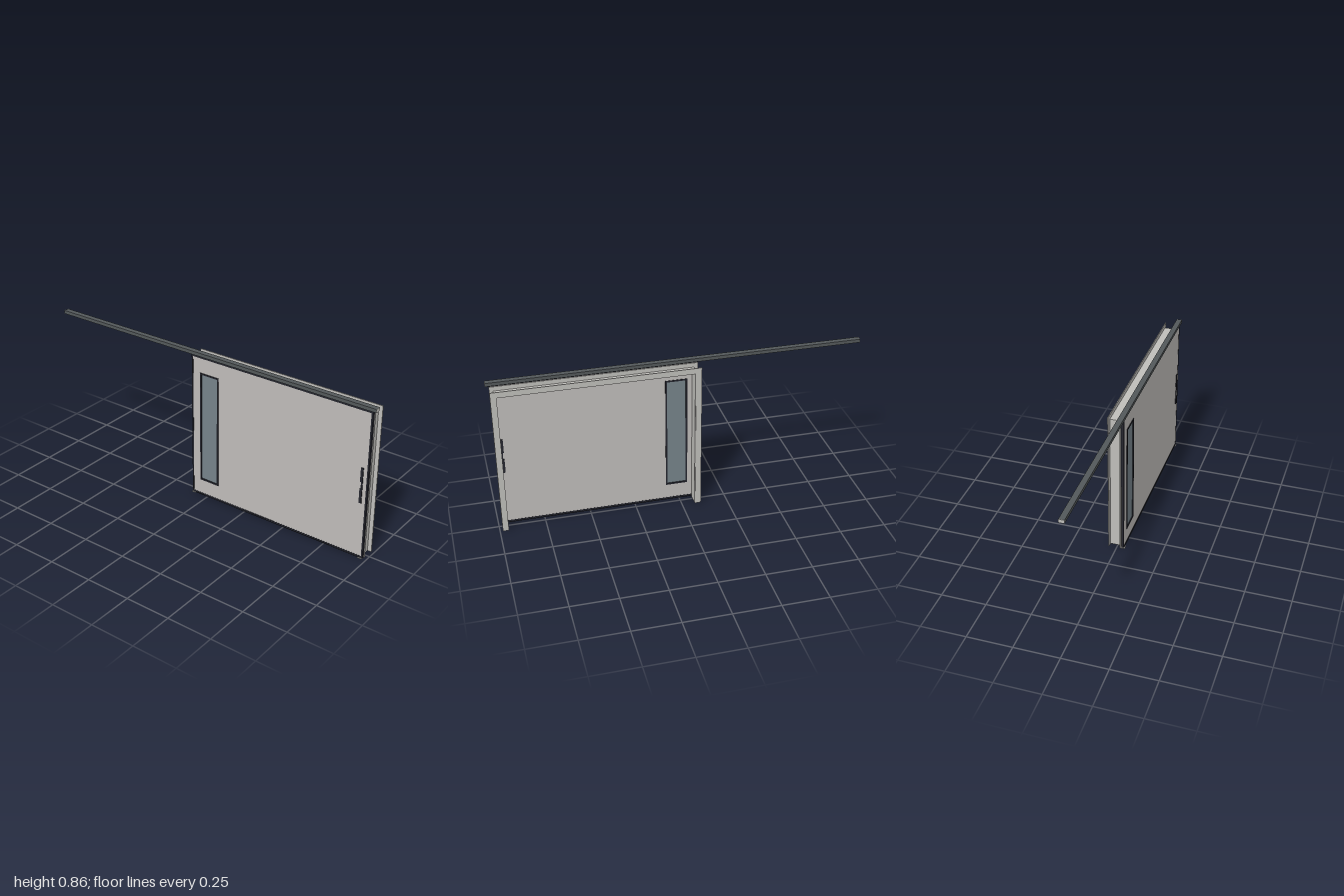
import * as THREE from 'three';

const mat = (name, color, side = THREE.FrontSide) => {
  const m = new THREE.MeshStandardMaterial({ color, side });
  m.name = name;
  return m;
};

export function createModel() {
  const root = new THREE.Group();
  root.name = 'slidingDoor';
  const panelGrey = mat('panelGrey', 0xbfbcb9);
  const frameGrey = mat('frameGrey', 0xbfbeba);
  const railGrey = mat('railGrey', 0x53585a);
  const darkTrim = mat('darkTrim', 0x25262e);
  const glassGrey = mat('glassGrey', 0x76838a);

  const add = (name, geometry, material, parent = root) => {
    const mesh = new THREE.Mesh(geometry, material);
    mesh.name = name;
    parent.add(mesh);
    return mesh;
  };
  // Box given by its minimum and maximum on each axis
  const box = (name, material, [x0, x1], [y0, y1], [z0, z1], parent) => {
    const g = new THREE.BoxGeometry(x1 - x0, y1 - y0, z1 - z0);
    g.translate((x0 + x1) / 2, (y0 + y1) / 2, (z0 + z1) / 2);
    return add(name, g, material, parent);
  };
  const rect = (x0, x1, y0, y1) => [[x0, y0], [x1, y0], [x1, y1], [x0, y1]]
    .map(([x, y]) => new THREE.Vector2(x, y));
  const extrude = (shape, z0, z1) =>
    new THREE.ExtrudeGeometry(shape, { depth: z1 - z0, bevelEnabled: false }).translate(0, 0, z0);
  // Rectangular ring
  const ring = (outer, inner, z0, z1) => {
    const s = new THREE.Shape(rect(...outer));
    s.holes.push(new THREE.Path(rect(...inner)));
    return extrude(s, z0, z1);
  };
  // Doorway outline: two posts and a head, open at the floor
  const arch = ([x0, x1, top], t, z0, z1) => extrude(new THREE.Shape([
    [x0, 0], [x0 + t, 0], [x0 + t, top - t], [x1 - t, top - t],
    [x1 - t, 0], [x1, 0], [x1, top], [x0, top],
  ].map(([x, y]) => new THREE.Vector2(x, y))), z0, z1);

  // Overhead track with end caps
  const track = new THREE.Group();
  track.name = 'track';
  root.add(track);
  box('rail', railGrey, [-0.998, 0.998], [0.839, 0.858], [0.018, 0.048], track);
  box('railEndLeft', frameGrey, [0.998, 1], [0.839, 0.858], [0.018, 0.048], track);
  box('railEndRight', frameGrey, [-1, -0.998], [0.839, 0.858], [0.018, 0.048], track);

  // Door leaf: panel, dark edging, window
  const door = new THREE.Group();
  door.name = 'doorLeaf';
  root.add(door);
  const leaf = [-0.1, 0.98, 0.005, 0.835];
  const pane = [-0.046, 0.074, 0.097, 0.743];
  const inset = ([a, b, c, d], t) => [a + t, b - t, c + t, d - t];
  add('panel', ring(inset(leaf, 0.009), inset(pane, 0.004), 0.027, 0.039), panelGrey, door);
  add('edgeTrim', ring(leaf, inset(leaf, 0.009), 0.026, 0.04), darkTrim, door);
  add('windowFrame', ring(pane, inset(pane, 0.009), 0.025, 0.042), darkTrim, door);
  const g = inset(pane, 0.009);
  box('windowGlass', glassGrey, [g[0], g[1]], [g[2], g[3]], [0.03, 0.037], door);

  // Pull handles on both faces
  for (const [side, z] of [['front', [0.039, 0.043]], ['back', [0.021, 0.027]]]) {
    const handle = new THREE.Group();
    handle.name = side + 'Handle';
    door.add(handle);
    box('gripUpper', darkTrim, [0.937, 0.951], [0.44, 0.52], z, handle);
    box('gripLower', darkTrim, [0.937, 0.951], [0.32, 0.4], z, handle);
    box('gripBar', darkTrim, [0.943, 0.951], [0.4, 0.44], z, handle);
  }

  // Hangers and floor guide
  for (const x of [-0.05, 0.93])
    box('hanger', darkTrim, [x - 0.015, x + 0.015], [0.833, 0.842], [0.028, 0.038]);
  box('floorGuide', darkTrim, [-0.09, 0.97], [0.002, 0.006], [0.025, 0.041]);
  for (const x of [-0.09, 0.965])
    box('guideFoot', frameGrey, [x - 0.012, x + 0.012], [0, 0.004], [0.02, 0.045]);

  // Door frame: lining between a front and a back flange
  const frame = new THREE.Group();
  frame.name = 'doorFrame';
  root.add(frame);
  add('lining', arch([-0.078, 0.963, 0.811], 0.008, -0.043, 0.018), frameGrey, frame);
  add('backFlange', arch([-0.105, 0.985, 0.835], 0.032, -0.047, -0.042), frameGrey, frame);
  add('frontFlange', arch([-0.1, 0.982, 0.835], 0.03, 0.017, 0.022), frameGrey, frame);
  return root;
}
